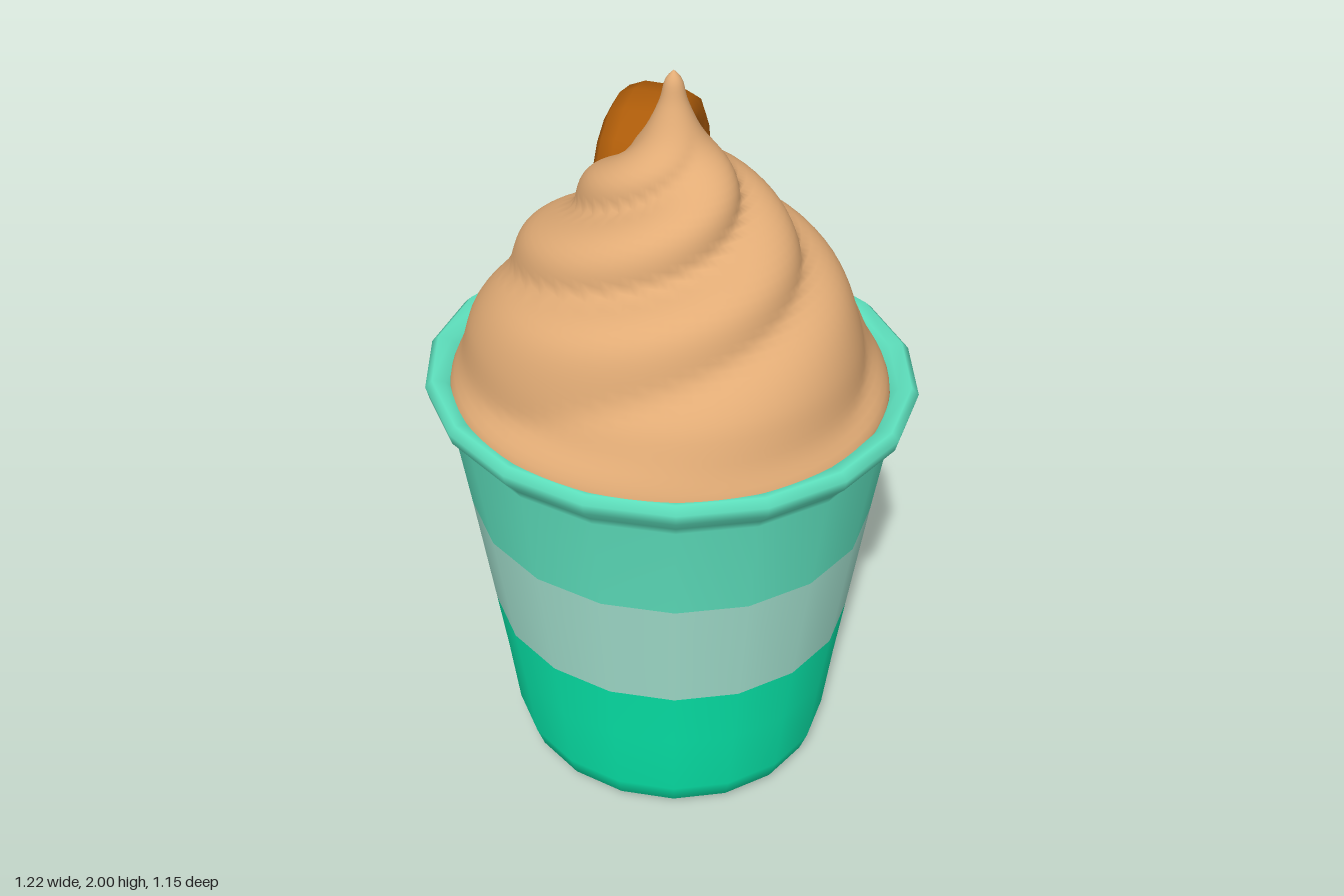
import * as THREE from 'three';
import { mergeVertices } from 'three/addons/utils/BufferGeometryUtils.js';

const { smoothstep } = THREE.MathUtils;
const mat = (name, color, side = THREE.FrontSide) => {
  const m = new THREE.MeshStandardMaterial({ color, side });
  m.name = name;
  return m;
};
const vec = (pts) => pts.map(([x, y]) => new THREE.Vector2(x, y));

// Turned part with smooth normals
function lathe(name, pts, segments, material) {
  const mesh = new THREE.Mesh(new THREE.LatheGeometry(vec(pts), segments), material);
  mesh.name = name;
  return mesh;
}

// Cream: a turned cone pushed in and out along three spiral arms
function creamGeometry() {
  const profile = new THREE.SplineCurve(vec([
    [0.5, 1.1], [0.545, 1.19], [0.503, 1.28], [0.472, 1.37], [0.418, 1.47], [0.355, 1.55],
    [0.28, 1.625], [0.208, 1.7], [0.138, 1.77], [0.075, 1.84], [0.035, 1.92], [0.02, 1.975], [0, 2],
  ])).getPoints(60);
  profile[60].x = 0;
  let geo = new THREE.LatheGeometry(profile, 80);
  geo.deleteAttribute('uv');
  geo.deleteAttribute('normal');
  geo = mergeVertices(geo, 1e-5);
  const p = geo.attributes.position;
  for (let i = 0; i < p.count; i++) {
    const x = p.getX(i), y = p.getY(i), z = p.getZ(i);
    const r = Math.hypot(x, z), a = Math.atan2(z, x);
    const fade = smoothstep(r, 0.05, 0.2) * smoothstep(y, 1.19, 1.3);
    // Rounded ridges with creases between them, softer low down and at the back
    const wave = 2 * Math.abs(Math.cos((3 * a - 40 * (r - 0.27)) / 2)) - 1.25;
    const amp = fade * (0.7 + 0.3 * Math.sin(a)) * (1 - 0.45 * smoothstep(r, 0.3, 0.5));
    // Hollow where the biscuit is pressed in
    const dent = 0.045 * fade * smoothstep(Math.cos(a + 1.8), 0.7, 1) * (1 - smoothstep(r, 0.38, 0.48));
    const k = r > 1e-4 ? (r + 0.028 * wave * amp - dent) / r : 1;
    p.setXYZ(i, x * k + 0.008, y + 0.014 * wave * amp, z * k * 0.95 + 0.03 * smoothstep(r, 0, 0.5));
  }
  geo.computeVertexNormals();
  return geo;
}

export function createModel() {
  const green = mat('green', 0x06e4a8);
  const pale = mat('paleMint', 0xa2dfcd);
  const mint = mat('mint', 0x5ee1be, THREE.DoubleSide);
  const cream = mat('cream', 0xe2ac76);
  const biscuit = mat('biscuit', 0xac5b09);
  const model = new THREE.Group();
  model.name = 'dessertCup';

  // Cup in three coloured bands, slightly oval
  const cup = new THREE.Group();
  cup.name = 'cup';
  cup.add(
    lathe('cupBase', [[0, 0.005], [0.3, 0], [0.365, 0.01], [0.41, 0.04], [0.43, 0.1], [0.452, 0.3], [0.475, 0.482]], 18, green),
    lathe('cupBand', [[0.475, 0.482], [0.518, 0.82]], 18, pale),
    lathe('cupRim', [[0.518, 0.82], [0.556, 1.1], [0.568, 1.125], [0.603, 1.165], [0.61, 1.195], [0.592, 1.213],
      [0.56, 1.207], [0.53, 1.18], [0.49, 1.12], [0.44, 1.1]], 18, mint),
  );
  cup.scale.set(1.012, 1, 0.94);
  model.add(cup);

  const swirl = new THREE.Mesh(creamGeometry(), cream);
  swirl.name = 'creamSwirl';
  model.add(swirl);

  // Thick round biscuit with faintly dished faces, standing on edge
  const half = [[0, -0.092], [0.1, -0.092], [0.13, -0.103], [0.165, -0.105], [0.2, -0.085], [0.216, -0.045]];
  const cookie = lathe('biscuit', [...half, ...half.map(([r, y]) => [r, -y]).reverse()], 16, biscuit);
  cookie.rotation.set(0, 0.04, Math.PI / 2);
  cookie.position.set(-0.18, 1.535, -0.358);
  model.add(cookie);

  return model;
}
